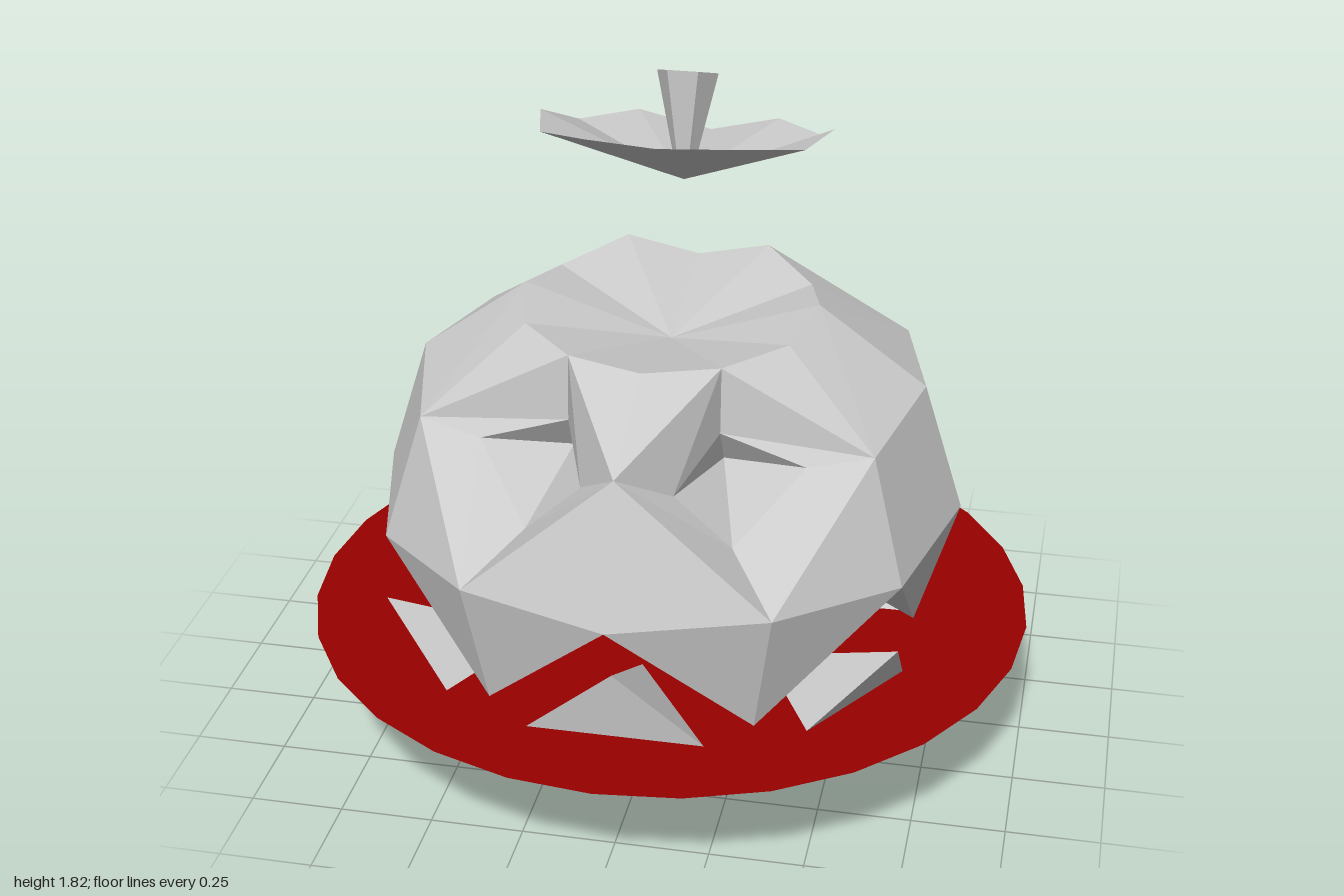
import * as THREE from 'three';

const grey = new THREE.MeshStandardMaterial({ color: 0xcccccc, flatShading: true, side: THREE.DoubleSide });
const red = new THREE.MeshStandardMaterial({ color: 0x990000, side: THREE.DoubleSide });

// Faceted mesh from a list of triangles; triangles with a missing corner are left out
function facets(name, tris) {
  const geo = new THREE.BufferGeometry();
  const pos = tris.filter(t => t.every(Boolean)).flat(2);
  geo.setAttribute('position', new THREE.Float32BufferAttribute(pos, 3));
  geo.computeVertexNormals();
  const mesh = new THREE.Mesh(geo, grey);
  mesh.name = name;
  return mesh;
}

const flip = p => p && [-p[0], p[1], p[2]];
// Full 12-point ring from its +x half (front to back)
const ring = half => [...half, ...half.slice(1, 6).reverse().map(flip)];
const at = (r, i) => r[(i + r.length) % r.length];

function fan(centre, r, up) {
  return r.map((p, i) => up ? [centre, p, at(r, i + 1)] : [centre, at(r, i + 1), p]);
}

// Band between two rings, with the diagonals alternating
function band(a, b, parity) {
  return a.flatMap((a0, i) => {
    const a1 = at(a, i + 1), b0 = b[i], b1 = at(b, i + 1);
    return i % 2 === parity
      ? [[a0, a1, b0], [a1, b1, b0]]
      : [[a0, a1, b1], [a0, b1, b0]];
  });
}

function upperShell() {
  const group = new THREE.Group();
  group.name = 'upperShell';
  const middle = ring([[0, .7, .85], [.4, .71, .73], [.69, .67, .43], [.8, .69, 0],
    [.69, .67, -.42], [.4, .69, -.73], [0, .66, -.84]]);
  // the missing corner is the eye opening
  const shoulder = ring([[0, 1.06, .72], null, [.6, 1, .36], [.69, 1.04, 0],
    [.6, 1.02, -.39], [.35, 1.01, -.65], [0, 1, -.75]]);
  const crown = ring([[0, 1.2, .4], [.2, 1.21, .35], [.35, 1.22, .2], [.4, 1.25, 0],
    [.35, 1.22, -.2], [.2, 1.25, -.38], [0, 1.2, -.4]]);
  const tips = ring([null, [.35, .36, .67], null, [.69, .34, .03], null, [.35, .325, -.6], null]);

  group.add(facets('shellWall', [...band(middle, shoulder, 0), ...band(shoulder, crown, 1)]));
  group.add(facets('crownDish', fan([0, 1.12, 0], crown, true)));

  // Teeth hanging from the middle ring, and the underside rising to the centre
  group.add(facets('upperTeeth', tips.flatMap((t, i) => [
    [t, at(middle, i + 1), middle[i]], [t, middle[i], at(middle, i - 1)]])));
  group.add(facets('underside', fan([0, .68, 0], tips.map((t, i) => t || middle[i]), false)));

  // Eye sockets: a sloping frame around a pointed pit
  const frame = [middle[1], shoulder[2], crown[1], shoulder[0]];
  const inset = [[.27, .81, .56], [.43, .97, .39], [.2, 1.03, .36], [.12, .95, .57]];
  const apex = [.2, .93, .3];
  const socket = frame.flatMap((f, i) => {
    const f1 = at(frame, i + 1), n = inset[i], n1 = at(inset, i + 1);
    return [[f, f1, n1], [f, n1, n], [n, n1, apex]];
  });
  group.add(facets('leftEye', socket));
  group.add(facets('rightEye', socket.map(t => t.map(flip).reverse())));
  return group;
}

function lowerShell() {
  const group = new THREE.Group();
  group.name = 'lowerShell';
  // Odd corners are the valleys, even corners the tooth tips
  const rim = ring([[0, .53, .77], [.35, .23, .73], [.69, .49, .45], [.69, .19, .15],
    [.65, .5, -.23], [.35, .15, -.42], [0, .42, -.53]]);
  const base = ring([[0, .02, .52], null, [.35, .02, .36], null, [.35, .03, -.01], null, [0, 0, -.15]]);
  const wall = [], teeth = [];
  for (let i = 0; i < 12; i += 2) {
    const before = at(rim, i - 1), after = rim[i + 1];
    teeth.push([before, after, rim[i]]);
    wall.push([base[i], after, before], [base[i], at(base, i + 2), after]);
  }
  group.add(facets('lowerTeeth', teeth));
  group.add(facets('bowl', [...wall, ...fan([0, .05, .17], base.filter(Boolean), false)]));
  group.add(facets('bowlInside', fan([0, .2, .15], rim, true)));
  return group;
}

function lid() {
  const group = new THREE.Group();
  group.name = 'lid';
  const edge = ring([[0, 1.73, .2], [.2, 1.72, .14], [.35, 1.68, 0], [.4, 1.67, -.2],
    [.34, 1.58, -.39], [.2, 1.57, -.53], [0, 1.51, -.57]]);
  group.add(facets('lidDish', fan([0, 1.51, -.17], edge, true)));

  // Six-sided stem flaring to a slanted top
  const stemRing = (y, z, r, slant) => Array.from({ length: 6 }, (_, i) => {
    const a = (i + .5) * Math.PI / 3;
    const dz = r * Math.cos(a);
    return [r * Math.sin(a), y + slant * dz, z + dz];
  });
  const foot = stemRing(1.52, -.175, .02, 0), top = stemRing(1.795, -.22, .083, .35);
  group.add(facets('stem', [...band(foot, top, 0), ...fan([0, 1.795, -.22], top, true)]));
  return group;
}

export function createModel() {
  const model = new THREE.Group();
  model.name = 'carvedPumpkin';
  model.add(upperShell(), lowerShell(), lid());

  // Flat disc between the two halves
  const disc = new THREE.Mesh(new THREE.CircleGeometry(1, 28), red);
  disc.name = 'disc';
  disc.rotation.x = -Math.PI / 2;
  disc.position.y = .33;
  model.add(disc);
  return model;
}
